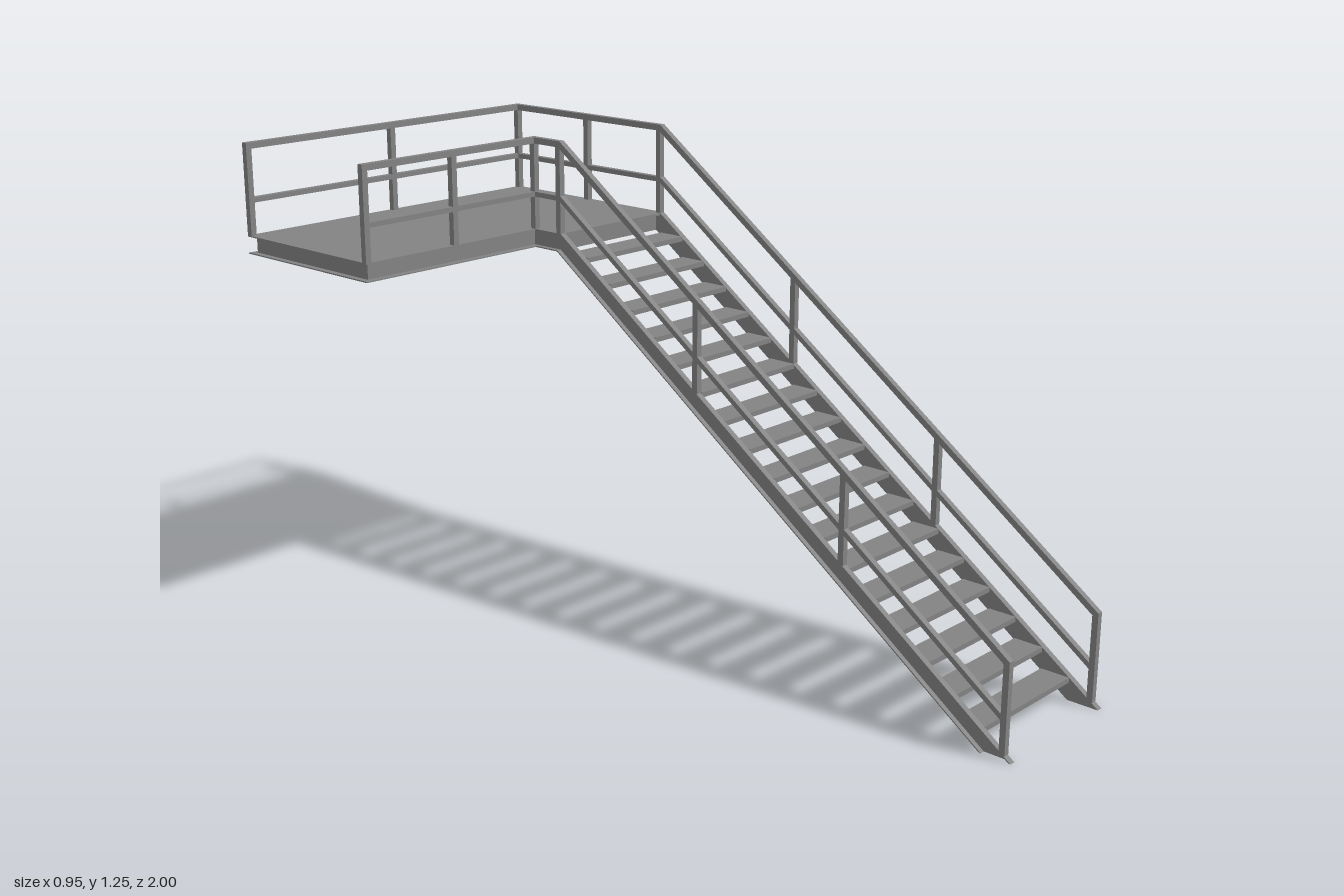
import * as THREE from 'three';

const DECK = 1.007, RAIL = 1.246, MID = 1.105;  // top heights on the landing
const KNEE = -0.426;                            // z where the flight meets the landing
const DROP = 0.048;                             // channel height
const FL = 0.016, T = 0.003;                    // flange width, steel thickness
const BAR = 0.016, MIDBAR = 0.013;              // square rail sections
const X0 = 0.084, X1 = 0.475, XL = -0.475;      // stair and landing outer edges
const ZB = -1, ZF = -0.52;                      // landing back and front edges
const SLOPE = DECK / (1 - KNEE);

export function createModel() {
  const root = new THREE.Group();
  const mat = new THREE.MeshStandardMaterial({ color: 0x838383, flatShading: true });

  const add = (parent, name, geo) => {
    const m = new THREE.Mesh(geo, mat);
    m.name = name;
    parent.add(m);
  };
  const group = (name) => {
    const g = new THREE.Group();
    g.name = name;
    root.add(g);
    return g;
  };
  // Box given by its min and max on each axis
  const box = (parent, name, xa, xb, ya, yb, za, zb) =>
    add(parent, name, new THREE.BoxGeometry(xb - xa, yb - ya, zb - za)
      .translate((xa + xb) / 2, (ya + yb) / 2, (za + zb) / 2));
  // Side outline between two [z, y] polylines, extruded from xa to xb
  const band = (parent, name, top, bottom, xa, xb) => {
    const pts = [...top, ...[...bottom].reverse()].map(([z, y]) => new THREE.Vector2(z, y));
    const geo = new THREE.ExtrudeGeometry(new THREE.Shape(pts), { depth: xb - xa, bevelEnabled: false });
    add(parent, name, geo.rotateY(-Math.PI / 2).translate(xb, 0, 0));
  };

  // Stringers: C channels with flanges outwards, running on into the landing edge
  const stringer = (name, xa, xb, webX, zEnd) => {
    const g = group(name);
    const top = [[1, 0], [KNEE, DECK], [zEnd, DECK]];
    const bot = [[0.915, 0], [KNEE - 0.317 * DROP, DECK - DROP], [zEnd, DECK - DROP]];
    const at = (f) => top.map((p, i) => [p[0] + (bot[i][0] - p[0]) * f, p[1] + (bot[i][1] - p[1]) * f]);
    const f = T / DROP;
    band(g, 'web', at(f), at(1 - f), webX, webX + T);
    band(g, 'topFlange', at(0), at(f), xa, xb);
    band(g, 'bottomFlange', at(1 - f), at(1), xa, xb);
  };
  stringer('innerStringer', X0, X0 + FL, X0 + FL - T, ZF - FL);
  stringer('outerStringer', X1 - FL, X1, X1 - FL, ZB + FL);

  // Treads: thin plates with a folded front lip
  const treads = group('treads');
  const rise = DECK / 18, run = 0.0788;
  for (let i = 0; i < 17; i++) {
    const z = 0.917 - run * i, y = rise * (i + 1) + 0.003;
    box(treads, 'treadPlate', X0 + FL, X1 - FL, y - T, y, z - run, z);
    box(treads, 'treadLip', X0 + FL, X1 - FL, y - 0.013, y - T, z - T, z);
  }

  // Landing deck plate and edge channels
  const landing = group('landing');
  box(landing, 'deck', XL + FL, X1 - FL, DECK - 0.006, DECK, ZB + FL, ZF - FL);
  box(landing, 'deckAtStairs', X0 + FL, X1 - FL, DECK - 0.006, DECK, ZF - FL, KNEE);
  const low = DECK - DROP;
  const flanges = (name, xa, xb, za, zb) => {
    box(landing, name + 'TopFlange', xa, xb, DECK - T, DECK, za, zb);
    box(landing, name + 'BottomFlange', xa, xb, low, low + T, za, zb);
  };
  flanges('back', XL, X1, ZB, ZB + FL);
  flanges('front', XL, X0, ZF - FL, ZF);
  flanges('side', XL, XL + FL, ZB + FL, ZF - FL);
  box(landing, 'backWeb', XL + FL, X1 - FL, low, DECK - T, ZB + FL, ZB + FL + T);
  box(landing, 'frontWeb', XL + FL, X0 + FL, low, DECK - T, ZF - FL - T, ZF - FL);
  box(landing, 'sideWeb', XL + FL, XL + FL + T, low, DECK - T, ZB + FL, ZF - FL);
  box(landing, 'stairHeader', X0 + FL, X1 - FL, low, DECK - 0.006, KNEE - 0.018, KNEE - 0.015);

  // Railings following the stair, then level along the landing
  const Z0 = 0.983;
  const sideRailing = (name, xa, zEnd, levelPosts) => {
    const g = group(name), xb = xa + BAR;
    const railing = (part, y, t) => {
      const start = y - (Z0 - KNEE) * SLOPE * 1.007;
      band(g, part, [[Z0, start], [KNEE, y], [zEnd, y]],
        [[Z0, start - 1.22 * t], [KNEE - 0.317 * t, y - t], [zEnd, y - t]], xa, xb);
    };
    railing('topRail', RAIL, BAR);
    railing('midRail', MID, MIDBAR);
    for (const z of [Z0 - BAR / 2, 0.505, 0.04]) {
      const y = (1 - z) * SLOPE;
      box(g, 'post', xa, xb, y - 0.004, y + RAIL - DECK - 0.017, z - BAR / 2, z + BAR / 2);
    }
    for (const z of levelPosts)
      box(g, 'post', xa, xb, DECK, RAIL - BAR, z - BAR / 2, z + BAR / 2);
  };
  sideRailing('innerStairRailing', X0, ZF, [KNEE - BAR / 2]);
  sideRailing('outerStairRailing', X1 - BAR, ZB + BAR, [KNEE - BAR / 2, -0.71]);

  // Level railings along the front and back of the landing
  const crossRailing = (name, xEnd, za) => {
    const g = group(name), zb = za + BAR;
    box(g, 'topRail', XL, xEnd, RAIL - BAR, RAIL, za, zb);
    box(g, 'midRail', XL, xEnd, MID - MIDBAR, MID, za, zb);
    for (const x of [XL, (XL + xEnd - BAR) / 2, xEnd - BAR])
      box(g, 'post', x, x + BAR, DECK, RAIL - BAR, za, zb);
  };
  crossRailing('landingFrontRailing', X0 + BAR, ZF - BAR);
  crossRailing('landingBackRailing', X1, ZB);

  return root;
}
